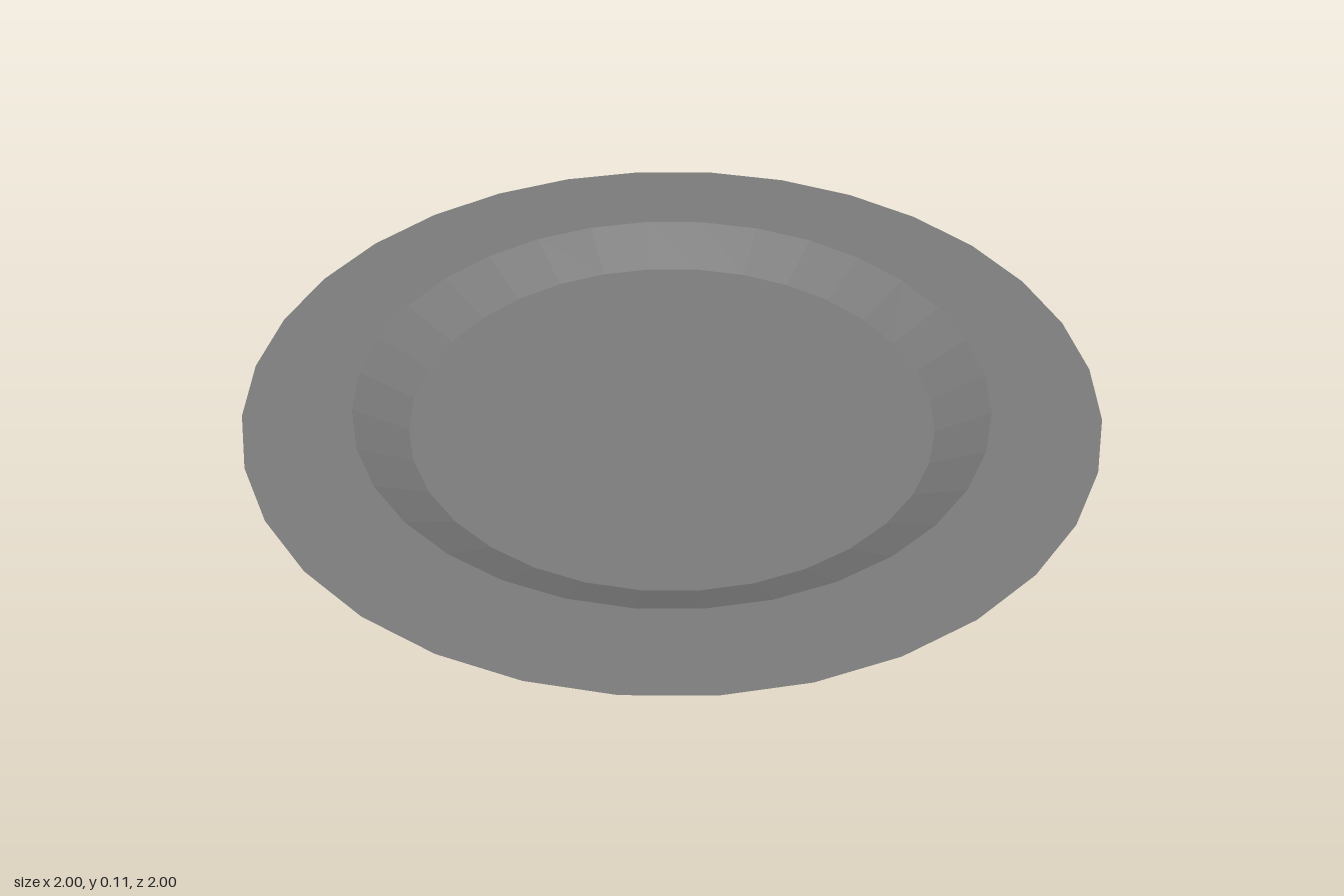
import * as THREE from 'three';

export function createModel() {
  const group = new THREE.Group();
  group.name = 'plate';

  // Closed profile: underside centre, outer wall, flat rim, sloped well, floor centre
  const profile = [
    [0, 0], [0.825, 0], [1, 0.106], [0.747, 0.106], [0.62, 0.041], [0, 0.041],
  ].map(([r, y]) => new THREE.Vector2(r, y));

  const material = new THREE.MeshStandardMaterial({ color: 0x7d7d7d, flatShading: true });
  const dish = new THREE.Mesh(new THREE.LatheGeometry(profile, 32), material);
  dish.name = 'dish';
  group.add(dish);
  return group;
}
